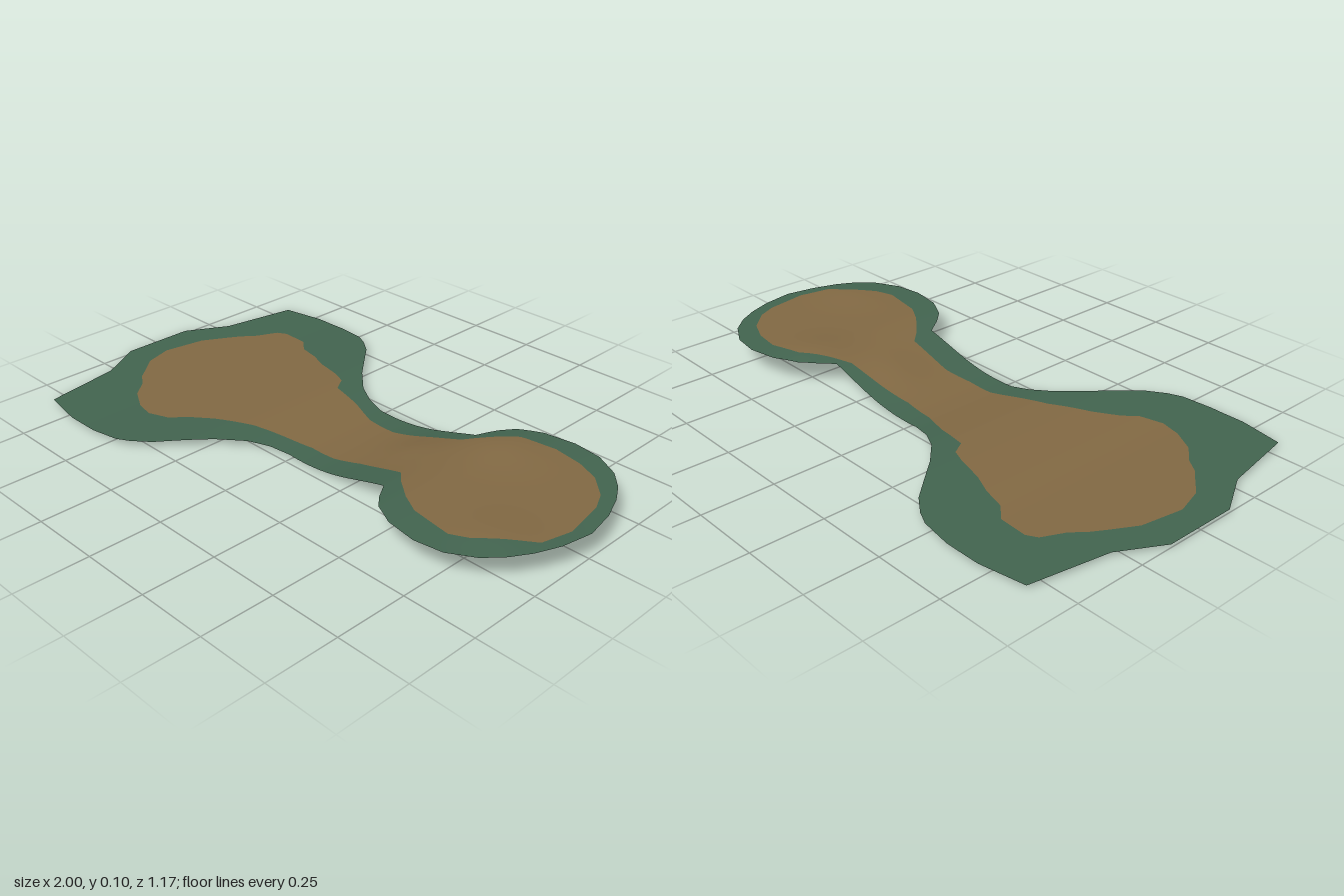
import * as THREE from 'three';

// Half width of the grass, as x, z pairs
const GRASS = [-1, .13, -.916, .28, -.868, .555, -.713, .583, -.585, .583, -.478, .568, -.43, .545, -.37, .5,
  -.24, .345, -.16, .27, -.09, .232, -.02, .214, .4, .214, .44, .275, .48, .32, .56, .362, .67, .38, .77, .366,
  .857, .318, .91, .26, .948, .195, .98, .11, 1, 0];
// Back and front edges of the dirt path, as x, z pairs
const DIRT_BACK = [-.91, .03, -.885, -.12, -.84, -.2, -.81, -.25, -.77, -.3, -.735, -.375, -.7, -.395, -.6, -.39,
  -.55, -.345, -.47, -.325, -.4, -.295, -.3, -.27, -.25, -.25, -.22, -.2, -.1, -.175, 0, -.14, .12, -.13,
  .25, -.15, .38, -.165, .45, -.215, .53, -.28, .65, -.305, .75, -.29, .83, -.255, .9, -.185, .93, -.12, .955, .03];
const DIRT_FRONT = [-.91, .03, -.88, .13, -.82, .2, -.8, .225, -.75, .26, -.7, .32, -.62, .365, -.55, .38,
  -.47, .355, -.43, .31, -.35, .255, -.22, .19, -.15, .17, 0, .13, .1, .13, .2, .11, .38, .115, .42, .16,
  .5, .225, .57, .265, .72, .29, .78, .265, .85, .205, .93, .14, .955, .03];
// Height along the length, as x, y pairs
const RISE = [-1, .013, -.6, .013, -.45, .02, -.28, .027, -.15, .02, 0, .001, .1, .003, .2, .018, .3, .046,
  .4, .073, .5, .086, .6, .087, 1, .087];

// Linear reading of a pair list
function lerpAt(list, x) {
  if (x <= list[0]) return list[1];
  for (let i = 2; i < list.length; i += 2) {
    if (x <= list[i]) {
      const t = (x - list[i - 2]) / (list[i] - list[i - 2]);
      return list[i - 1] + t * (list[i + 1] - list[i - 1]);
    }
  }
  return list[list.length - 1];
}

const bump = (x, z, cx, cz, r, h) => h * Math.exp(-((x - cx) ** 2 + (z - cz) ** 2) / (r * r));

// Gentle ground height: the ramp plus soft mounds on the green
function height(x, z) {
  let y = 0;
  for (let k = -2; k <= 2; k++) y += lerpAt(RISE, x + k * 0.02) / 5;
  return y + bump(x, z, .52, -.22, .13, .012) + bump(x, z, .82, .2, .12, .008)
    + bump(x, z, .28, -.05, .1, .007);
}

// Shared columns along the length, including every outline corner
const columns = (() => {
  const xs = [];
  for (const list of [GRASS, DIRT_BACK, DIRT_FRONT]) for (let i = 0; i < list.length; i += 2) xs.push(list[i]);
  for (let i = 0; i <= 80; i++) xs.push(-1 + i * 0.025);
  xs.sort((a, b) => a - b);
  return xs.filter((x, i) => i === 0 || x - xs[i - 1] > 1e-4);
})();

// Sheet between two edge functions, following the ground
function sheet(name, material, from, to, x0, x1, rows) {
  const pos = [], nor = [], idx = [], n = new THREE.Vector3(), e = 0.01;
  const xs = columns.filter(x => x >= x0 - 1e-4 && x <= x1 + 1e-4);
  xs.forEach((x, c) => {
    const a = from(x), b = to(x);
    for (let r = 0; r <= rows; r++) {
      const z = a + (b - a) * r / rows;
      pos.push(x, height(x, z), z);
      n.set((height(x - e, z) - height(x + e, z)) / (2 * e), 1, (height(x, z - e) - height(x, z + e)) / (2 * e));
      nor.push(...n.normalize().toArray());
      if (c > 0 && r > 0) {
        const i = c * (rows + 1) + r, j = i - rows - 1;
        idx.push(j - 1, j, i, j - 1, i, i - 1);
      }
    }
  });
  const g = new THREE.BufferGeometry();
  g.setAttribute('position', new THREE.Float32BufferAttribute(pos, 3));
  g.setAttribute('normal', new THREE.Float32BufferAttribute(nor, 3));
  g.setIndex(idx);
  const mesh = new THREE.Mesh(g, material);
  mesh.name = name;
  return mesh;
}

export function createModel() {
  const grass = new THREE.MeshStandardMaterial({ color: 0x436550, side: THREE.DoubleSide });
  grass.name = 'grass green';
  const dirt = new THREE.MeshStandardMaterial({ color: 0x836a44, side: THREE.DoubleSide });
  dirt.name = 'dirt brown';

  const edge = x => lerpAt(GRASS, x);
  // The dirt edge stays inside the grass at the pointed tips
  const inner = list => x => Math.max(-edge(x), Math.min(edge(x), lerpAt(list, x)));
  const back = inner(DIRT_BACK), front = inner(DIRT_FRONT);

  const group = new THREE.Group();
  group.name = 'ground';
  group.add(
    sheet('backGrass', grass, x => -edge(x), back, -1, 1, 8),
    sheet('dirtPath', dirt, back, front, -.91, .955, 16),
    sheet('frontGrass', grass, front, edge, -1, 1, 8),
  );
  return group;
}
